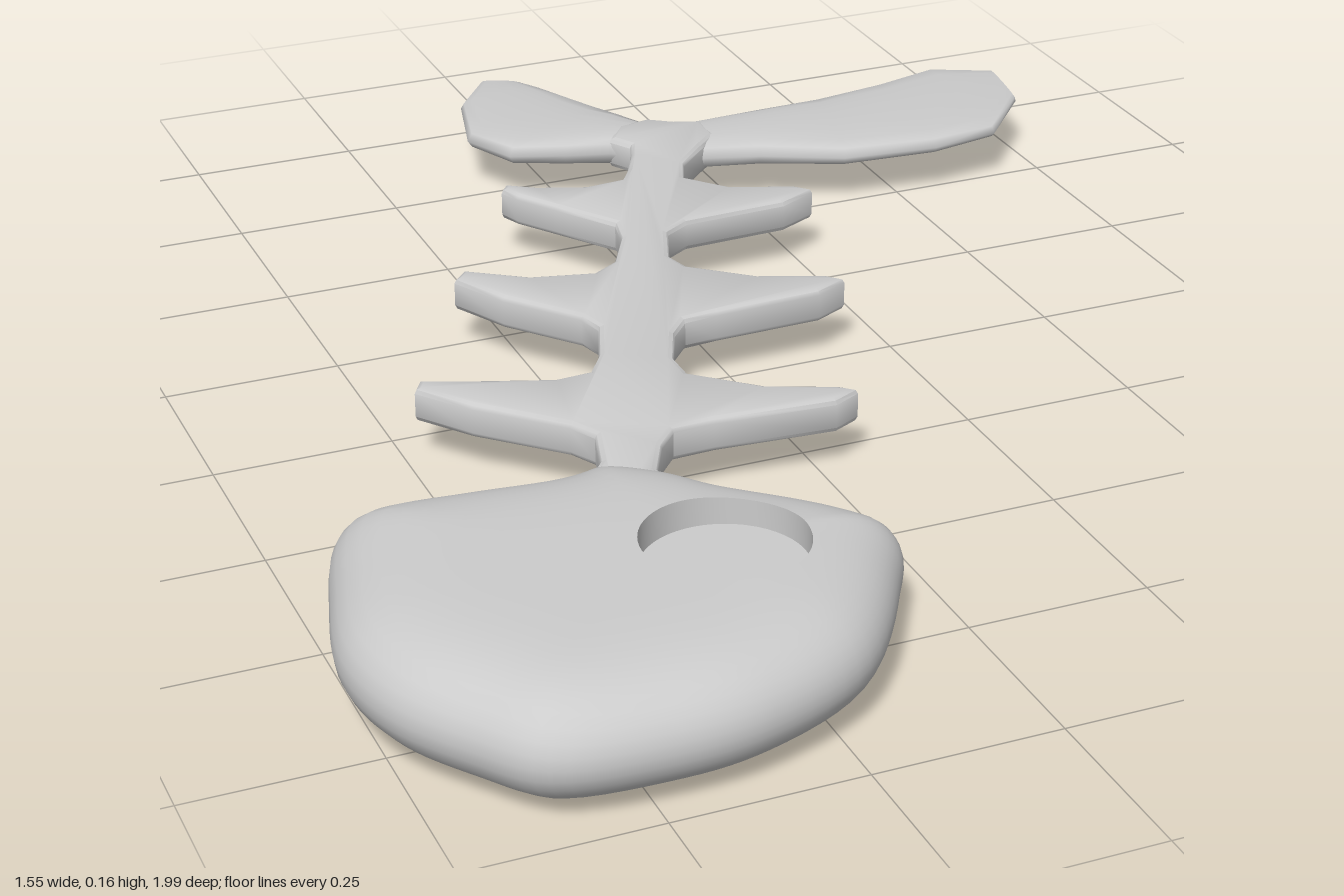
import * as THREE from 'three';
import { toCreasedNormals } from 'three/addons/utils/BufferGeometryUtils.js';

const MID = 0.083; // height of the flat symmetry plane
const material = new THREE.MeshStandardMaterial({ color: 0xcccccc });

// Pairs of numbers in a flat list become [x, z] points
const pairs = (list) => Array.from({ length: list.length / 2 }, (_, i) => [list[2 * i], list[2 * i + 1]]);

// Skin over closed rings of equal length
function loft(rings) {
  const n = rings[0].length;
  const index = [];
  for (let j = 0; j < rings.length - 1; j++) {
    for (let i = 0; i < n; i++) {
      const k = (i + 1) % n;
      const a = j * n + i, b = j * n + k;
      index.push(a, b, a + n, b, b + n, a + n);
    }
  }
  const geometry = new THREE.BufferGeometry().setFromPoints(rings.flat());
  geometry.setIndex(index);
  geometry.computeVertexNormals();
  return geometry;
}

function addMesh(parent, name, geometry) {
  const mesh = new THREE.Mesh(geometry, material);
  mesh.name = name;
  parent.add(mesh);
}

// Pillow-shaped head with a round eye socket sunk into both faces
function createHead() {
  const head = new THREE.Group();
  head.name = 'head';
  const control = pairs([
    -0.70, 0.41, -0.65, 0.385, -0.53, 0.39, -0.41, 0.40, -0.35, 0.39, -0.27, 0.44, -0.22, 0.50,
    -0.11, 0.605, -0.065, 0.68, -0.10, 0.76, -0.21, 0.91, -0.36, 0.98, -0.48, 0.993, -0.63, 0.97,
    -0.70, 0.89, -0.76, 0.79, -0.78, 0.68, -0.75, 0.54,
  ]).map(([x, z]) => new THREE.Vector3(x, 0, z));
  const outline = new THREE.CatmullRomCurve3(control, true).getPoints(108).slice(0, -1);
  const edges = outline.map((p, i) => new THREE.Line3(p, outline[(i + 1) % outline.length]));
  const eye = new THREE.Vector3(-0.30, 0, 0.69);
  const rim = outline.map((p) => p.clone().sub(eye).setLength(0.105).add(eye));

  // Half thickness grows quickly in from the outline, then levels off
  const nearest = new THREE.Vector3();
  const halfThickness = (p) => {
    const d = Math.min(...edges.map((e) => e.closestPointToPoint(p, true, nearest).distanceTo(p)));
    const u = 1 - Math.min(d / 0.28, 1);
    return 0.082 * Math.sqrt(Math.max(0, 1 - u ** 5));
  };
  const mirror = (ring) => ring.map((p) => new THREE.Vector3(p.x, 2 * MID - p.y, p.z));

  const steps = 12;
  const upper = [];
  for (let j = 0; j <= steps; j++) {
    const t = 1 - (1 - j / steps) ** 2;
    upper.push(outline.map((p, i) => {
      const q = rim[i].clone().lerp(p, t);
      q.y = MID + (j === steps ? 0 : halfThickness(q));
      return q;
    }));
  }
  const lower = upper.slice(0, -1).reverse().map(mirror);
  addMesh(head, 'skull', loft([...upper, ...lower]));

  // Sockets: upright wall and flat floor, repeated on the underside
  const floor = rim.map((p) => new THREE.Vector3(p.x, MID + 0.04, p.z));
  const centre = rim.map(() => new THREE.Vector3(eye.x, MID + 0.04, eye.z));
  for (const [name, rings] of [['eyeSocketWall', [floor, upper[0]]], ['eyeSocketFloor', [centre, floor]]]) {
    addMesh(head, name + 'Upper', loft(rings));
    addMesh(head, name + 'Lower', loft(rings.map(mirror).reverse()));
  }
  return head;
}

// Backbone with three pairs of curved ribs, cut from a bevelled plate
function createSpine() {
  const leftEdge = pairs([
    0.07, -0.645, 0.09, -0.61, 0.075, -0.57, 0.05, -0.52, 0.03, -0.49,
    -0.03, -0.485, -0.10, -0.512, -0.14, -0.54, -0.153, -0.522, -0.14, -0.49, -0.10, -0.43, -0.04, -0.34,
    -0.05, -0.29, -0.09, -0.215, -0.13, -0.19,
    -0.22, -0.213, -0.30, -0.27, -0.323, -0.245, -0.28, -0.16, -0.20, -0.06, -0.19, -0.02,
    -0.22, 0.06, -0.25, 0.105, -0.30, 0.108,
    -0.40, 0.07, -0.47, 0.04, -0.485, 0.065, -0.43, 0.14, -0.33, 0.24, -0.31, 0.28,
    -0.33, 0.35, -0.37, 0.40, -0.36, 0.48,
  ]);
  const rightEdge = pairs([
    -0.25, 0.48, -0.27, 0.40, -0.24, 0.34, -0.21, 0.305,
    -0.15, 0.302, 0.02, 0.315, 0.06, 0.295, 0.04, 0.275, -0.05, 0.235, -0.13, 0.16,
    -0.13, 0.11, -0.10, 0.04, -0.07, 0.005,
    -0.02, 0.0, 0.14, -0.005, 0.19, -0.03, 0.17, -0.053, 0.08, -0.09, 0.0, -0.16,
    -0.01, -0.20, 0.02, -0.28, 0.06, -0.305,
    0.22, -0.312, 0.28, -0.342, 0.26, -0.365, 0.17, -0.40, 0.12, -0.46,
    0.14, -0.51, 0.19, -0.562, 0.23, -0.60, 0.23, -0.66, 0.19, -0.675, 0.155, -0.70, 0.10, -0.69,
  ]);
  const shape = new THREE.Shape([...leftEdge, ...rightEdge].map(([x, z]) => new THREE.Vector2(x, -z)));
  const geometry = new THREE.ExtrudeGeometry(shape, {
    depth: 0.034, bevelThickness: 0.008, bevelSize: 0.008, bevelOffset: -0.008, bevelSegments: 2,
  });
  geometry.rotateX(-Math.PI / 2).translate(0, MID - 0.017, 0);
  return toCreasedNormals(geometry, 0.8);
}

// Tail fin from stations [edge x, edge z, other edge x, other edge z, half thickness]
function createFin(stations) {
  const sides = 16;
  const rings = stations.map(([ax, az, bx, bz, h]) => Array.from({ length: sides }, (_, i) => {
    const angle = (i / sides) * Math.PI * 2;
    const t = (1 - Math.cos(angle)) / 2;
    const s = Math.sin(angle);
    const y = MID + h * Math.sign(s) * Math.sqrt(Math.abs(s));
    return new THREE.Vector3(ax + (bx - ax) * t, y, az + (bz - az) * t);
  }));
  // Close the tip
  const [ax, az, bx, bz] = stations[stations.length - 1];
  rings.push(rings[0].map(() => new THREE.Vector3((ax + bx) / 2, MID, (az + bz) / 2)));
  return loft(rings);
}

export function createModel() {
  const model = new THREE.Group();
  model.name = 'fishSkeleton';
  model.add(createHead());
  addMesh(model, 'spineAndRibs', createSpine());
  addMesh(model, 'longTailFin', createFin([
    [0.13, -0.67, 0.15, -0.57, 0.022],
    [0.20, -0.68, 0.20, -0.565, 0.025],
    [0.35, -0.69, 0.28, -0.54, 0.024],
    [0.45, -0.70, 0.40, -0.48, 0.021],
    [0.57, -0.725, 0.55, -0.463, 0.018],
    [0.68, -0.76, 0.66, -0.48, 0.014],
    [0.775, -0.72, 0.755, -0.59, 0.007],
  ]));
  addMesh(model, 'shortTailFin', createFin([
    [0.09, -0.62, 0.18, -0.65, 0.022],
    [0.07, -0.64, 0.155, -0.70, 0.025],
    [0.0, -0.66, 0.13, -0.76, 0.024],
    [-0.08, -0.69, 0.11, -0.81, 0.021],
    [-0.12, -0.775, 0.09, -0.86, 0.018],
    [-0.085, -0.91, 0.06, -0.93, 0.013],
    [-0.02, -1.0, 0.04, -0.97, 0.007],
  ]));
  return model;
}
